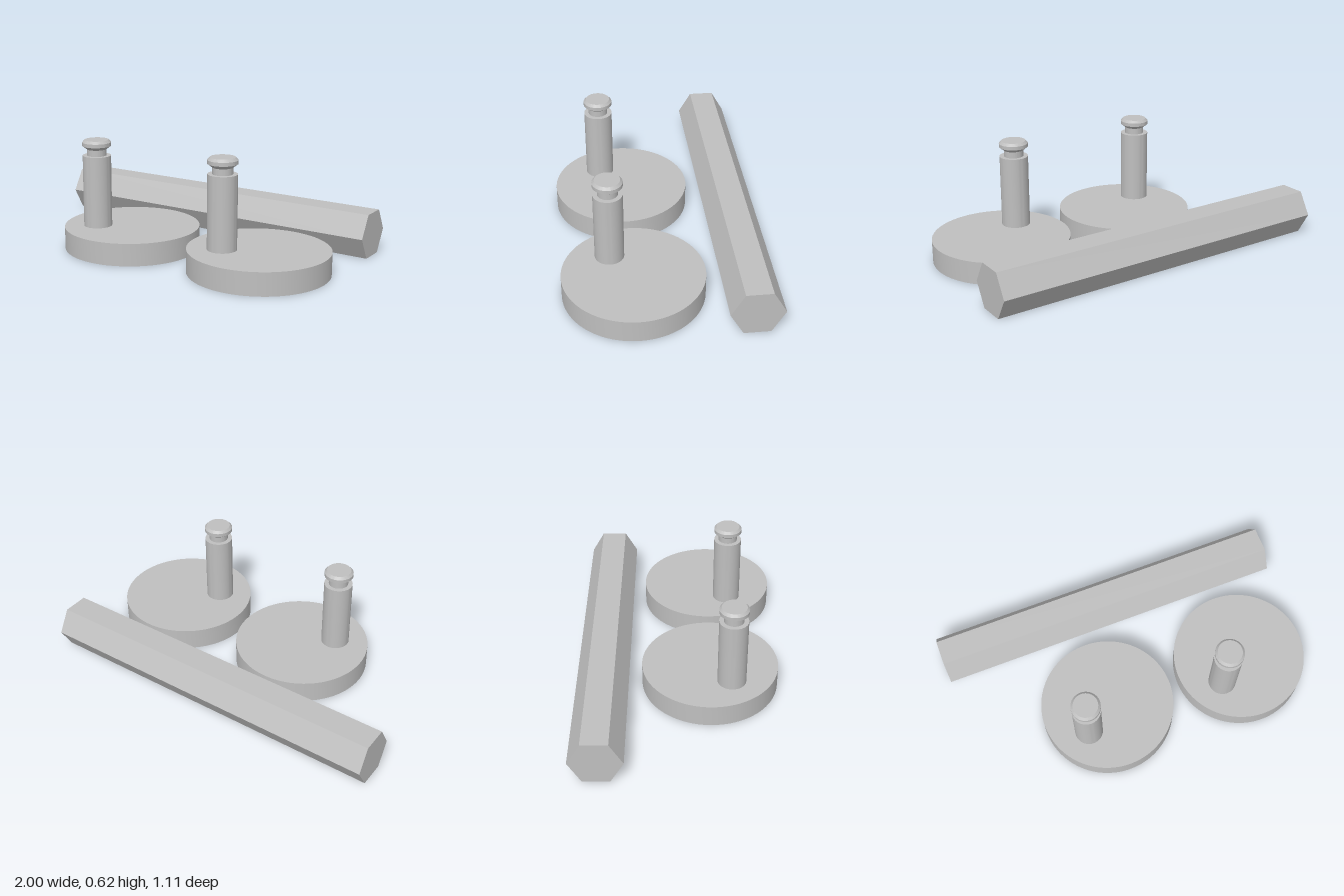
import * as THREE from 'three';
import { toCreasedNormals } from 'three/addons/utils/BufferGeometryUtils.js';

const steel = new THREE.MeshStandardMaterial({ color: 0xbfbfbf });
steel.name = 'grey steel';

function addMesh(parent, name, geometry) {
  const mesh = new THREE.Mesh(geometry, steel);
  mesh.name = name;
  parent.add(mesh);
  return mesh;
}

function turned(profile, sides, crease) {
  const points = profile.map(([r, y]) => new THREE.Vector2(r, y));
  return toCreasedNormals(new THREE.LatheGeometry(points, sides), crease);
}

const DISC_R = 0.38, DISC_H = 0.125, MOUTH_R = 0.155;

// Round crank disc with a hexagonal socket below and an off-centre pin above
function createCrank() {
  const crank = new THREE.Group();
  addMesh(crank, 'disc', turned([[DISC_R, 0], [DISC_R, DISC_H], [0, DISC_H]], 96, 0.4));

  // Underside with the socket opening
  const under = new THREE.Shape().absarc(0, 0, DISC_R, 0, Math.PI * 2);
  const hex = [];
  for (let i = 0; i < 6; i++) {
    const a = (i * Math.PI) / 3;
    hex.push(new THREE.Vector2(MOUTH_R * Math.sin(a), MOUTH_R * Math.cos(a)));
  }
  under.holes.push(new THREE.Path(hex));
  addMesh(crank, 'discUnderside', new THREE.ShapeGeometry(under, 96).rotateX(Math.PI / 2));

  // Socket walls run downwards so that they face inwards
  addMesh(crank, 'hexSocket',
    turned([[0, 0.085], [0.145, 0.085], [0.145, 0.01], [MOUTH_R, 0]], 6, 0.2));

  // Pin with a grooved neck and a bevelled head
  const pin = addMesh(crank, 'pin', turned([
    [0.079, DISC_H], [0.079, 0.527], [0.054, 0.527], [0.054, 0.562],
    [0.08, 0.581], [0.08, 0.601], [0.067, 0.615], [0, 0.615],
  ], 64, 0.4));
  pin.position.set(-0.155, 0, 0.115);
  return crank;
}

export function createModel() {
  const model = new THREE.Group();
  model.name = 'crankSet';

  // Hexagonal bar lying behind the cranks
  const barR = 0.1425;
  const bar = new THREE.CylinderGeometry(barR, barR, 2, 6).rotateZ(Math.PI / 2);
  addMesh(model, 'hexBar', toCreasedNormals(bar, 0.2))
    .position.set(0, barR * Math.cos(Math.PI / 6), -0.414);

  // Two matching cranks
  [['rightCrank', -0.202], ['leftCrank', 0.62]].forEach(([name, x]) => {
    const crank = createCrank();
    crank.name = name;
    crank.position.set(x, 0, 0.176);
    model.add(crank);
  });
  return model;
}
